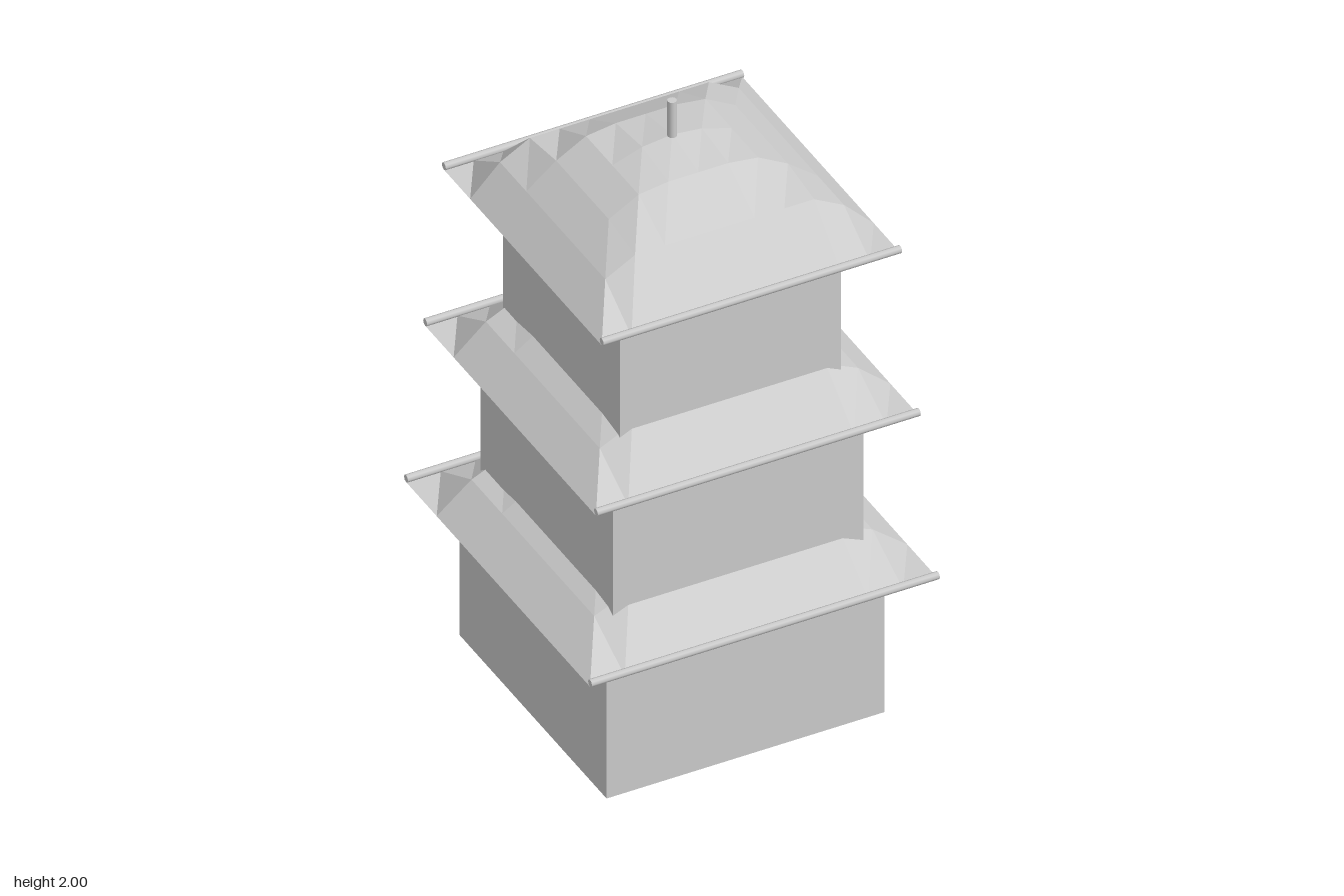
import * as THREE from 'three';

const stone = new THREE.MeshStandardMaterial({ name: 'stone', color: 0xcccccc });
const roofStone = new THREE.MeshStandardMaterial({
  name: 'roof stone', color: 0xcccccc, flatShading: true, side: THREE.DoubleSide,
});

function addMesh(parent, name, geometry, material, x, y, z) {
  const mesh = new THREE.Mesh(geometry, material);
  mesh.name = name;
  mesh.position.set(x, y, z);
  parent.add(mesh);
  return mesh;
}

// Square domed sheet: height falls off with distance from the centre
function roofGeometry(half, rise) {
  const geometry = new THREE.PlaneGeometry(2 * half, 2 * half, 10, 6);
  geometry.rotateX(-Math.PI / 2);
  const p = geometry.attributes.position;
  for (let i = 0; i < p.count; i++) {
    const d = Math.max(Math.abs(p.getX(i)), Math.abs(p.getZ(i))) / half;
    p.setY(i, rise * (1 - d * d));
  }
  geometry.computeVertexNormals();
  return geometry;
}

const tiers = [
  { bottom: 0, top: 0.5, wall: 0.443, roof: 0.555, rise: 0.25, window: 0.305 },
  { bottom: 0.5, top: 1.057, wall: 0.4, roof: 0.515, rise: 0.25, window: 0.862 },
  { bottom: 1.057, top: 1.613, wall: 0.353, roof: 0.476, rise: 0.267, window: 1.42 },
];

export function createModel() {
  const model = new THREE.Group();
  model.name = 'pagoda';

  tiers.forEach((t, i) => {
    const tier = new THREE.Group();
    tier.name = `tier${i + 1}`;
    model.add(tier);

    // Walls
    const height = t.top - t.bottom;
    addMesh(tier, 'walls', new THREE.BoxGeometry(2 * t.wall, height, 2 * t.wall),
      stone, 0, t.bottom + height / 2, 0);

    // Roof with a round rail along the front and back eaves
    addMesh(tier, 'roof', roofGeometry(t.roof, t.rise), roofStone, 0, t.top, 0);
    for (const side of [-1, 1]) {
      const rail = new THREE.CylinderGeometry(0.012, 0.012, 2 * t.roof, 8);
      rail.rotateZ(Math.PI / 2);
      addMesh(tier, 'eaveRail', rail, stone, 0, t.top + 0.012, side * t.roof);
    }

    // Three windows on the back wall
    for (const x of [-0.221, 0, 0.221]) {
      addMesh(tier, 'window', new THREE.BoxGeometry(0.1, 0.19, 0.008),
        stone, x, t.window, -t.wall);
    }
  });

  // Finial
  addMesh(model, 'finial', new THREE.CylinderGeometry(0.014, 0.014, 0.15, 12), stone, 0, 1.925, 0);
  return model;
}
